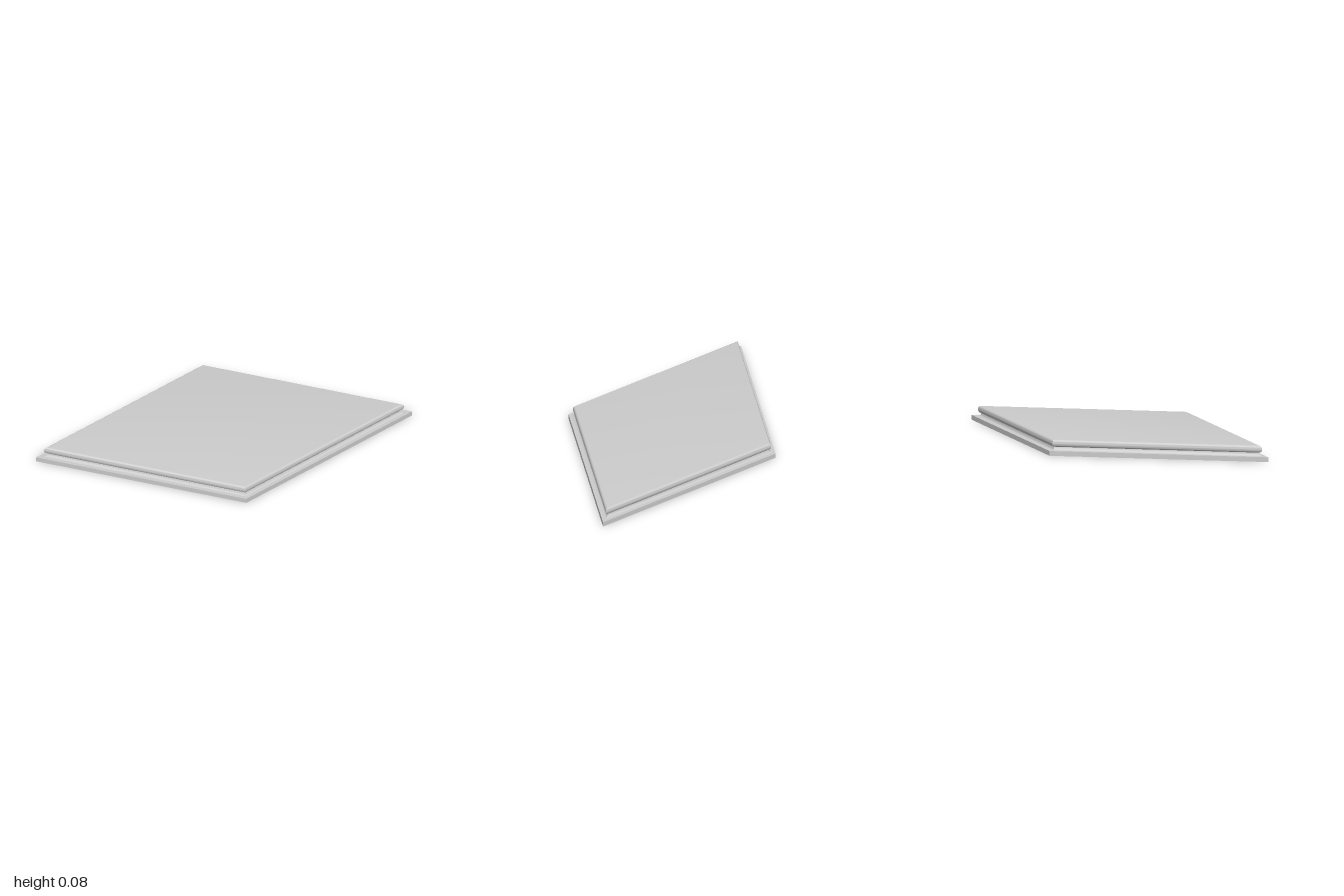
import * as THREE from 'three';
import { toCreasedNormals } from 'three/addons/utils/BufferGeometryUtils.js';

const DEPTH = 1 / Math.sqrt(3); // rhombus of two equilateral triangles

// Sweeps an edge profile [radius, y] round the four corners of the rhombus
function rhombusSweep(name, profile, material) {
  const points = profile.map(([r, y]) => new THREE.Vector2(r, y));
  const geometry = new THREE.LatheGeometry(points, 4);
  geometry.scale(1, 1, DEPTH);
  const mesh = new THREE.Mesh(toCreasedNormals(geometry, 0.4), material);
  mesh.name = name;
  return mesh;
}

// Points on an elliptical arc, angles in radians
function arc(cx, cy, rx, ry, from, to, steps) {
  return Array.from({ length: steps + 1 }, (_, i) => {
    const a = from + (to - from) * i / steps;
    return [cx + rx * Math.cos(a), cy + ry * Math.sin(a)];
  });
}

export function createModel() {
  const group = new THREE.Group();
  group.name = 'rhombusPlaque';
  const material = new THREE.MeshStandardMaterial({ color: 0xcccccc });

  // Flat slab with square edges
  const base = 0.025;
  group.add(rhombusSweep('basePlate', [[0, 0], [1, 0], [1, base], [0, base]], material));

  // Raised panel: concave cove below a rounded bullnose edge
  const cove = arc(0.965, 0.043, 0.03, 0.018, Math.PI * 1.5, Math.PI, 8);
  const bullnose = arc(0.935, 0.0615, 0.023, 0.0185, -Math.PI / 2, Math.PI / 2, 14);
  group.add(rhombusSweep('mouldedPanel', [[0, base], ...cove, ...bullnose, [0, 0.08]], material));

  return group;
}
